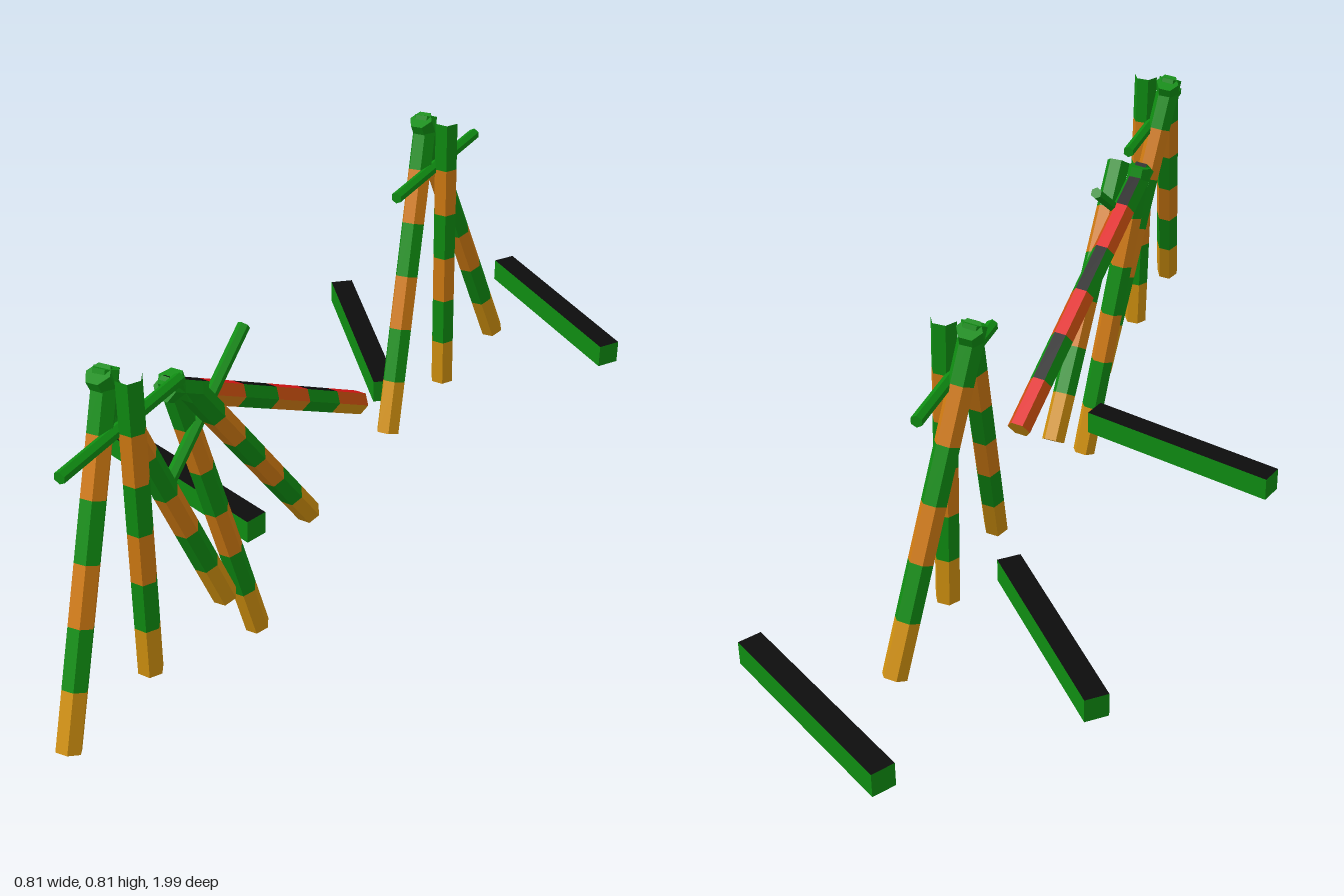
import * as THREE from 'three';

const mat = (name, color) => {
  const m = new THREE.MeshStandardMaterial({ color });
  m.name = name;
  return m;
};

export function createModel() {
  const green = mat('green', 0x0f8c12);
  const orange = mat('orange', 0xd07a12);
  const amber = mat('amber', 0xd0900f);
  const rust = mat('rust', 0xcc5010);
  const red = mat('red', 0xe01414);
  const black = mat('black', 0x0c0c0c);
  const palette = [green, orange, amber, rust, red, black];
  const BANDS = 6, SIDES = 6;

  // Six-sided pole with alternating bands, from its foot to its top
  function bandedPole(name, foot, top, { openTop = false, scorched = false } = {}) {
    const a = new THREE.Vector3(...foot), b = new THREE.Vector3(...top);
    const dir = b.clone().sub(a);
    const src = new THREE.CylinderGeometry(0.026, 0.026, dir.length(), SIDES, BANDS, false, Math.PI / 6);
    const torso = SIDES * BANDS * 6, cap = SIDES * 3;
    const all = Array.from(src.index.array);
    const index = all.slice(0, torso);
    if (!openTop) index.push(...all.slice(torso, torso + cap));
    index.push(...all.slice(torso + cap));
    src.setIndex(index);
    const geo = src.toNonIndexed();
    geo.computeVertexNormals();
    geo.clearGroups();
    for (let s = 0; s < SIDES; s++) {
      for (let k = 0; k < BANDS; k++) {
        let m = k % 2 === 0 ? green : k === BANDS - 1 ? amber : orange;
        // The upper faces of the fallen pole have their own colours
        if (scorched && s === 2) m = k % 2 === 0 ? black : red;
        else if (scorched && (s === 1 || s === 3) && k % 2) m = rust;
        geo.addGroup((s * BANDS + k) * 6, 6, palette.indexOf(m));
      }
    }
    if (!openTop) geo.addGroup(torso, cap, palette.indexOf(green));
    geo.addGroup(torso + (openTop ? 0 : cap), cap, palette.indexOf(amber));
    const mesh = new THREE.Mesh(geo, palette);
    mesh.name = name;
    mesh.position.copy(a).add(b).multiplyScalar(0.5);
    mesh.quaternion.setFromUnitVectors(new THREE.Vector3(0, 1, 0), dir.normalize());
    return mesh;
  }

  // Three poles leaning together, with a thin crossbar
  function tripod(name, scorched = false) {
    const g = new THREE.Group();
    g.name = name;
    g.add(bandedPole('frontPole', [0.1, 0.168, 0.256], [0.03, 0.803, -0.012]));
    g.add(bandedPole('backPole', [0.1, 0.168, -0.256], [0.03, 0.803, 0.012], { scorched }));
    g.add(bandedPole('middlePole', [0.1, 0.168, 0], [0.085, 0.808, 0], { openTop: true }));
    const barGeo = new THREE.CylinderGeometry(0.0125, 0.0125, 0.36, 6).toNonIndexed();
    barGeo.computeVertexNormals();
    barGeo.clearGroups();
    const bar = new THREE.Mesh(barGeo, green);
    bar.name = 'crossbar';
    bar.rotation.x = Math.PI / 2;
    bar.position.set(0.065, 0.7, 0);
    g.add(bar);
    return g;
  }

  const root = new THREE.Group();
  root.name = 'poleTripodsAndBeams';

  const front = tripod('frontTripod');
  front.position.z = 0.722;
  const back = tripod('backTripod');
  back.position.z = -0.45;
  const tipped = tripod('tippedTripod', true);
  tipped.position.set(0, 0.034, 0.045);
  tipped.rotation.x = 0.651;
  root.add(front, back, tipped);

  // Loose beams: green sides, black top and bottom; [x, z, dx, dz]
  const beams = [
    [0.195, -0.852, 0.39, 0.245],
    [-0.135, -0.497, 0.31, 0.345],
    [-0.18, 0.197, 0.445, 0.12],
  ];
  const beamGeo = new THREE.BoxGeometry(0.46, 0.052, 0.05);
  beams.forEach(([x, z, dx, dz], i) => {
    const beam = new THREE.Mesh(beamGeo, [green, green, black, black, green, green]);
    beam.name = `beam${i + 1}`;
    beam.position.set(x, 0.175, z);
    beam.rotation.y = Math.atan2(-dz, dx);
    root.add(beam);
  });

  return root;
}
